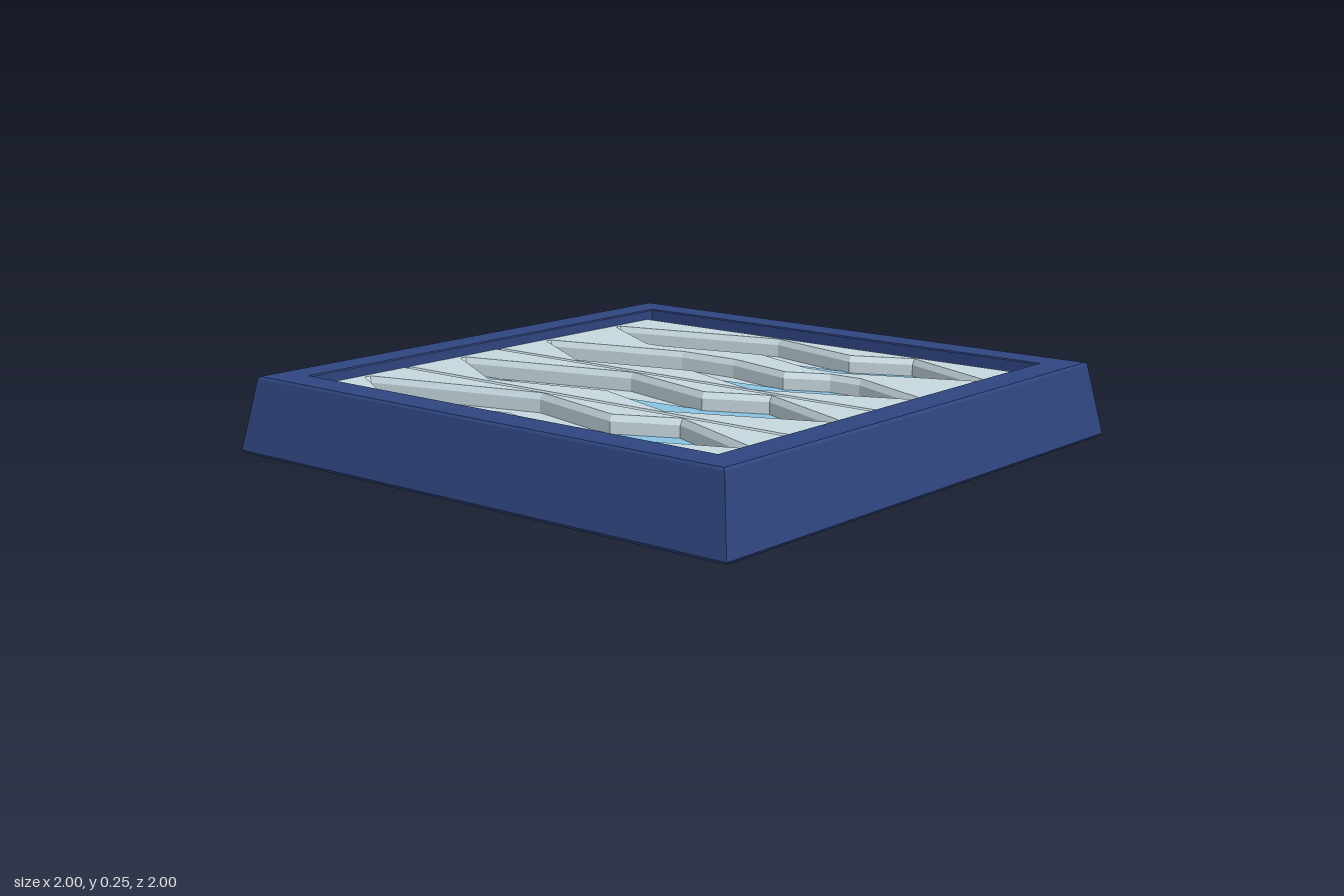
import * as THREE from 'three';

const mat = (color) => new THREE.MeshStandardMaterial({ color });

// Wave-like opening as [x, z], relative to its own centre line
const CREST = [-0.2, -0.18];
const REST = [
  [0.18, -0.085], [0.38, -0.177], [0.765, -0.015], [0.765, 0.01], [0.27, 0.217],
  [-0.07, 0.098], [-0.49, 0.205], [-0.82, 0.01], [-0.82, -0.015],
];

// Four openings: centre z and the limits they are cut off at
const OPENINGS = [
  { z: -0.62, min: -0.81, max: -0.428 },
  { z: -0.245, min: -0.395, max: -0.032 },
  { z: 0.18, min: 0, max: 0.4 },
  { z: 0.615, min: 0.435, max: 0.83 },
];

// Cuts a polygon along a line of constant z, keeping sign * z <= sign * limit
function clip(points, limit, sign) {
  const out = [];
  points.forEach((a, i) => {
    const b = points[(i + 1) % points.length];
    const da = sign * (a[1] - limit), db = sign * (b[1] - limit);
    if (da <= 0) out.push(a);
    if (da * db < 0) {
      const t = da / (da - db);
      out.push([a[0] + (b[0] - a[0]) * t, limit]);
    }
  });
  return out;
}

function openingPoints({ z, min, max }, points) {
  const moved = points.map(([x, pz]) => [x, pz + z]);
  return clip(clip(moved, max, 1), min, -1).map(([x, pz]) => new THREE.Vector2(x, -pz));
}

function add(group, name, geometry, material) {
  const mesh = new THREE.Mesh(geometry, material);
  mesh.name = name;
  group.add(mesh);
}

export function createModel() {
  const model = new THREE.Group();
  model.name = 'framedWavePanel';
  const navy = mat(0x2f4580), grey = mat(0xc6d8e0), blue = mat(0x88c4e4);

  // Square tray with sloping sides: a four-sided lathe
  const profile = [
    [0, 0], [0.99, 0], [0.998, 0.01], [0.956, 0.242], [0.95, 0.25],
    [0.843, 0.25], [0.84, 0.246], [0.84, 0.11], [0, 0.11],
  ].map(([r, y]) => new THREE.Vector2(r * Math.SQRT2, y));
  const tray = new THREE.LatheGeometry(profile, 4).rotateY(Math.PI / 4).toNonIndexed();
  tray.computeVertexNormals();
  add(model, 'frame', tray, navy);

  // Grey bed under the panels
  add(model, 'bed', new THREE.BoxGeometry(1.67, 0.042, 1.65).translate(0, 0.131, 0.01), grey);

  // Bevelled panels whose edges meet in narrow grooves; outer edges run into the frame
  const panels = [
    { from: -0.812, to: -0.029, openings: [0, 1] },
    { from: -0.007, to: 0.408, openings: [2] },
    { from: 0.43, to: 0.845, openings: [3] },
  ];
  for (const { from, to, openings } of panels) {
    const w = 0.845;
    const shape = new THREE.Shape([[-w, -to], [w, -to], [w, -from], [-w, -from]]
      .map(([x, y]) => new THREE.Vector2(x, y)));
    for (const i of openings) {
      shape.holes.push(new THREE.Path(openingPoints(OPENINGS[i], [CREST, ...REST])));
    }
    const geometry = new THREE.ExtrudeGeometry(shape, {
      depth: 0.06, bevelEnabled: true, bevelThickness: 0.02, bevelSize: 0.011, bevelSegments: 1,
    });
    geometry.rotateX(-Math.PI / 2).translate(0, 0.135, 0);
    add(model, 'panel', geometry, grey);
  }

  // Blue inlays at the bottom of the openings, leaving the crest grey
  for (const opening of OPENINGS) {
    const shape = new THREE.Shape(openingPoints(opening, REST));
    const geometry = new THREE.ShapeGeometry(shape).rotateX(-Math.PI / 2).translate(0, 0.156, 0);
    add(model, 'waveInlay', geometry, blue);
  }
  return model;
}
